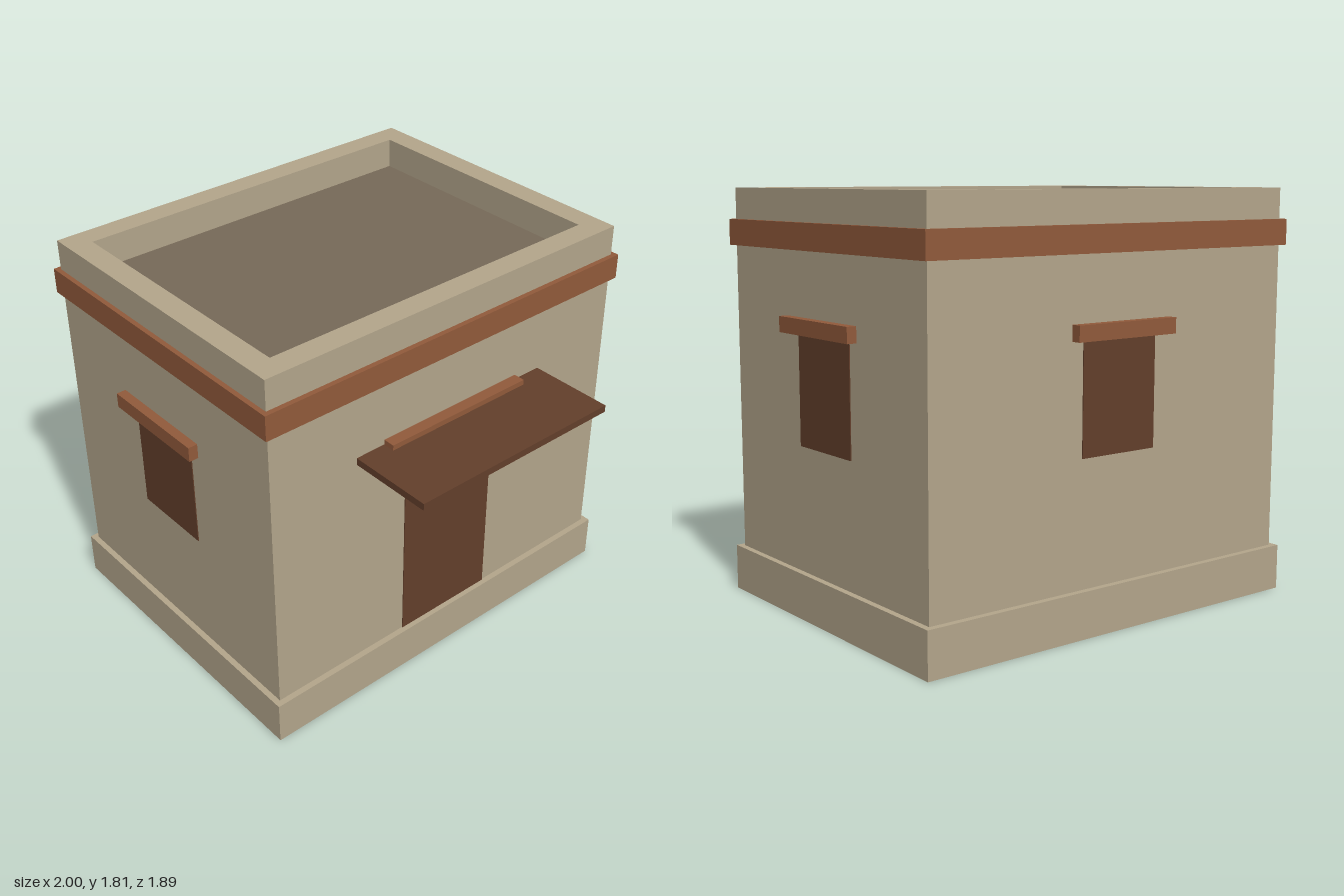
import * as THREE from 'three';

const colour = (name, hex, side = THREE.FrontSide) => {
  const m = new THREE.MeshStandardMaterial({ color: hex, side });
  m.name = name;
  return m;
};

export function createModel() {
  const model = new THREE.Group();
  model.name = 'house';

  const plaster = colour('plaster', 0xb3a58b, THREE.DoubleSide);
  const roofClay = colour('roof clay', 0x766958);
  const wood = colour('wood', 0x915a3b);
  const darkWood = colour('dark wood', 0x633f2b, THREE.DoubleSide);

  const add = (name, geometry, material, parent = model) => {
    const mesh = new THREE.Mesh(geometry, material);
    mesh.name = name;
    parent.add(mesh);
    return mesh;
  };

  // Box given by its limits on each axis
  const box = (name, [x0, x1], [y0, y1], [z0, z1], material, parent) => {
    const g = new THREE.BoxGeometry(x1 - x0, y1 - y0, z1 - z0);
    g.translate((x0 + x1) / 2, (y0 + y1) / 2, (z0 + z1) / 2);
    return add(name, g, material, parent);
  };

  // Rectangular ring standing between two heights, centred on the house
  const midZ = -0.169;
  const rectangle = (Type, w, d) => new Type([[-w, -d], [w, -d], [w, d], [-w, d]]
    .map(([x, y]) => new THREE.Vector2(x, y)));
  const ring = (name, [w, d], [iw, id], [y0, y1], material) => {
    const shape = rectangle(THREE.Shape, w, d);
    shape.holes.push(rectangle(THREE.Path, iw, id));
    const g = new THREE.ExtrudeGeometry(shape, { depth: y1 - y0, bevelEnabled: false });
    g.rotateX(-Math.PI / 2).translate(0, y0, midZ);
    return add(name, g, material);
  };

  // Plinth: a shell open underneath (bottom face left out)
  const plinth = new THREE.BoxGeometry(1.944, 0.2, 1.5);
  const faces = Array.from(plinth.index.array);
  faces.splice(18, 6);
  plinth.setIndex(faces);
  plinth.clearGroups();
  plinth.translate(0, 0.1, midZ);
  add('plinth', plinth, plaster);

  // Walls with parapet, sunken roof and the band around them
  ring('walls', [0.945, 0.722], [0.838, 0.614], [0.2, 1.807], plaster);
  const roof = new THREE.PlaneGeometry(1.676, 1.228);
  roof.rotateX(-Math.PI / 2).translate(0, 1.67, midZ);
  add('roof', roof, roofClay);
  ring('band', [0.967, 0.745], [0.945, 0.722], [1.558, 1.671], wood);

  // Door, its lintel and the awning; the door foot runs into the plinth
  box('door', [-0.25, 0.25], [0.13, 1.14], [0.551, 0.557], darkWood);
  box('doorLintel', [-0.373, 0.373], [1.193, 1.288], [0.558, 0.612], wood);
  box('awning', [-0.517, 0.517], [1.232, 1.264], [0.557, 0.948], darkWood);

  // Windows: thin plate with a lintel, built facing +z and turned into place
  const addWindow = (name, x, z, turn) => {
    const group = new THREE.Group();
    group.name = name;
    box('windowPane', [-0.195, 0.195], [0.742, 1.21], [-0.002, 0.004], darkWood, group);
    box('windowLintel', [-0.263, 0.263], [1.218, 1.285], [0.012, 0.055], wood, group);
    group.position.set(x, 0, z);
    group.rotation.y = turn;
    model.add(group);
  };
  addWindow('leftWindow', 0.945, -0.171, Math.PI / 2);
  addWindow('rightWindow', -0.945, -0.171, -Math.PI / 2);
  addWindow('backWindow', 0, -0.891, Math.PI);

  return model;
}
